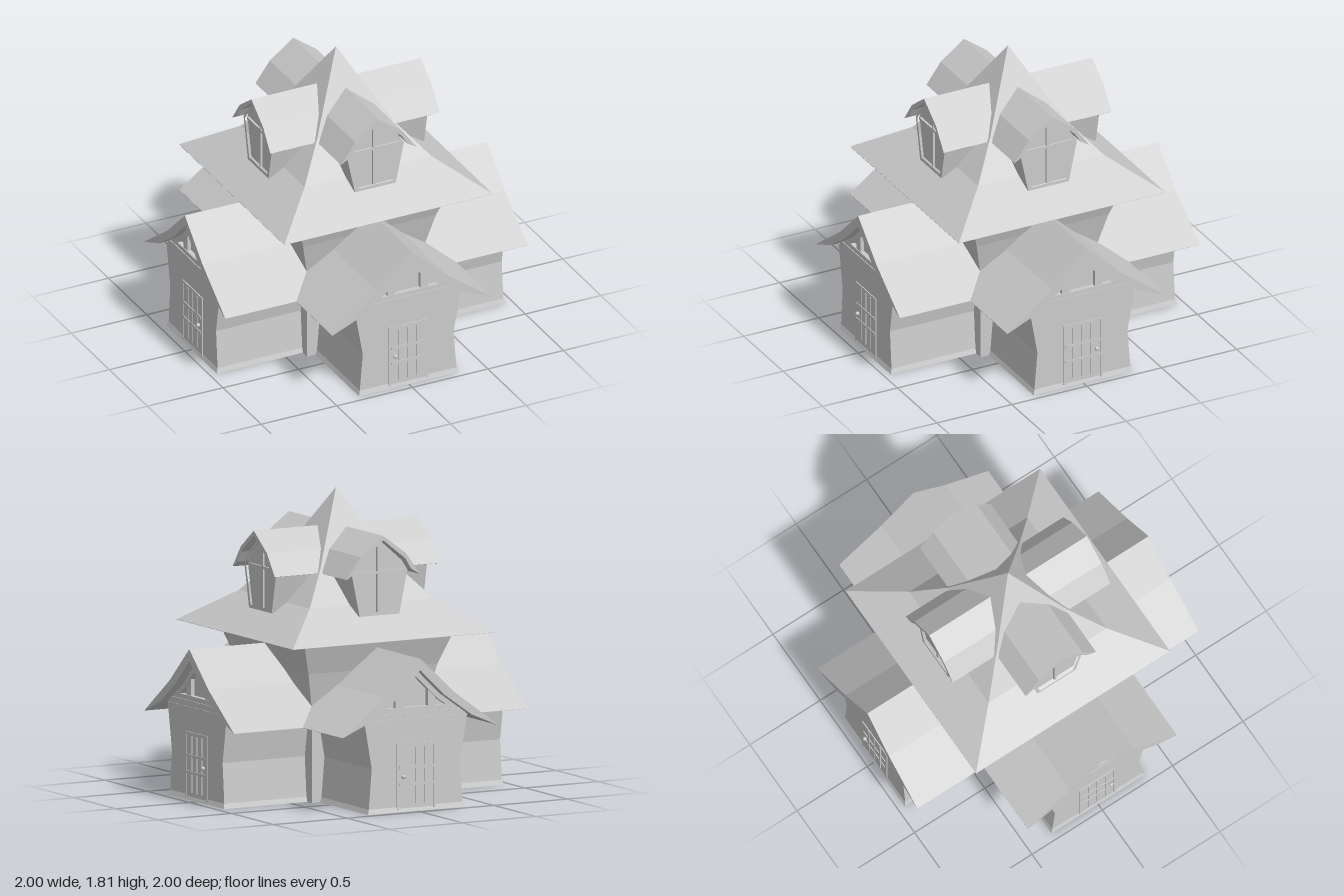
import * as THREE from 'three';

const material = new THREE.MeshStandardMaterial({ color: 0xcccccc, flatShading: true });

function part(parent, name, geometry, x = 0, y = 0, z = 0) {
  const mesh = new THREE.Mesh(geometry, material);
  mesh.name = name;
  mesh.position.set(x, y, z);
  parent.add(mesh);
  return mesh;
}

const box = (parent, name, w, h, d, x, y, z) =>
  part(parent, name, new THREE.BoxGeometry(w, h, d), x, y, z);

// Stack of rectangles, each level being [y, halfWidth, zBack, zFront]
function stack(levels) {
  const pos = [], index = [];
  for (const [y, w, b, f] of levels) pos.push(-w, y, f, w, y, f, w, y, b, -w, y, b);
  for (let l = 0; l < levels.length - 1; l++) {
    for (let i = 0; i < 4; i++) {
      const a = l * 4 + i, b = l * 4 + (i + 1) % 4;
      index.push(a, b, b + 4, a, b + 4, a + 4);
    }
  }
  const t = (levels.length - 1) * 4;
  index.push(0, 2, 1, 0, 3, 2, t, t + 1, t + 2, t, t + 2, t + 3);
  const g = new THREE.BufferGeometry();
  g.setAttribute('position', new THREE.Float32BufferAttribute(pos, 3));
  g.setIndex(index);
  const flat = g.toNonIndexed();
  flat.computeVertexNormals();
  return flat;
}

const square = (levels) => stack(levels.map(([y, h]) => [y, h, -h, h]));

// Mirrors a right-hand profile (top centre first) into a closed outline
const mirrored = (pts) => [
  ...pts.map(([x, y]) => new THREE.Vector2(x, y)),
  ...pts.filter(([x]) => x > 0).reverse().map(([x, y]) => new THREE.Vector2(-x, y)),
];

function prism(outline, z0, z1, hole) {
  const shape = new THREE.Shape(outline);
  if (hole) shape.holes.push(new THREE.Path(hole));
  const g = new THREE.ExtrudeGeometry(shape, { depth: z1 - z0, bevelEnabled: false });
  g.translate(0, 0, z0);
  return g;
}

// Bent gable roof shell between an outer and an inner half profile
function roofShell(outer, inner, z0, z1) {
  const left = (pts) => pts.slice(1).reverse().map(([x, y]) => [-x, y]);
  const loop = [...left(outer), ...outer, ...[...inner].reverse(), ...left(inner).reverse()];
  return prism(loop.map(([x, y]) => new THREE.Vector2(x, y)), z0, z1);
}

// Straight beam between two points of the gable plane
function beam(parent, name, x0, y0, x1, y1, width, z, depth) {
  const m = box(parent, name, Math.hypot(x1 - x0, y1 - y0), width, depth,
    (x0 + x1) / 2, (y0 + y1) / 2, z);
  m.rotation.z = Math.atan2(y1 - y0, x1 - x0);
}

function makeDoor(knobSide) {
  const door = new THREE.Group();
  door.name = 'door';
  box(door, 'doorPanel', 0.24, 0.38, 0.012, 0, 0.205, 0.942);
  // Frame
  for (const s of [-1, 1]) box(door, 'doorJamb', 0.014, 0.4, 0.016, s * 0.123, 0.205, 0.943);
  box(door, 'doorLintel', 0.26, 0.014, 0.016, 0, 0.4, 0.943);
  // Narrow battens between the planks, and two straps
  for (const x of [-0.06, 0, 0.06]) {
    for (const [y, h] of [[0.1, 0.11], [0.215, 0.08], [0.33, 0.11]]) {
      box(door, 'doorBatten', 0.012, h, 0.008, x, y, 0.949);
    }
  }
  for (const y of [0.165, 0.265]) box(door, 'doorStrap', 0.23, 0.016, 0.008, 0, y, 0.949);
  // Knob
  const stem = part(door, 'knobStem', new THREE.CylinderGeometry(0.006, 0.006, 0.02, 8),
    knobSide * 0.09, 0.21, 0.952);
  stem.rotation.x = Math.PI / 2;
  part(door, 'doorKnob', new THREE.SphereGeometry(0.013, 10, 8), knobSide * 0.09, 0.21, 0.958);
  return door;
}

function makeWing(knobSide) {
  const wing = new THREE.Group();
  wing.name = 'wing';
  // Pinched walls with a flared foot
  part(wing, 'wingWalls', stack([
    [0, 0.33, 0, 0.955], [0.03, 0.32, 0, 0.945], [0.27, 0.3, 0, 0.945], [0.555, 0.35, 0, 0.945],
  ]));
  // Roof and recessed gable
  const outer = [[0, 0.915], [0.23, 0.7], [0.53, 0.48]];
  const inner = [[0, 0.845], [0.16, 0.69], [0.35, 0.555], [0.53, 0.478]];
  part(wing, 'wingRoof', roofShell(outer, inner, 0.3, 1));
  part(wing, 'gableWall', prism(mirrored([[0, 0.86], [0.17, 0.7], [0.36, 0.55]]), 0.3, 0.915));
  // Timber framing
  box(wing, 'tieBeam', 0.6, 0.035, 0.05, 0, 0.575, 0.925);
  box(wing, 'tieBeam', 0.49, 0.035, 0.04, 0, 0.603, 0.925);
  for (const s of [-1, 1]) {
    beam(wing, 'rafterBeam', 0, 0.83, s * 0.16, 0.675, 0.04, 0.925, 0.04);
    beam(wing, 'rafterBeam', s * 0.155, 0.68, s * 0.33, 0.555, 0.04, 0.925, 0.04);
    beam(wing, 'gableStud', s * 0.11, 0.6, s * 0.11, 0.73, 0.05, 0.922, 0.036);
  }
  wing.add(makeDoor(knobSide));
  return wing;
}

function makeDormer() {
  const dormer = new THREE.Group();
  dormer.name = 'dormer';
  const wall = mirrored([[0, 1.56], [0.15, 1.43], [0.19, 1.37], [0.135, 1.11]]);
  const opening = mirrored([[0, 1.535], [0.135, 1.42], [0.172, 1.37], [0.117, 1.13]]);
  part(dormer, 'dormerWalls', prism(wall, 0.1, 0.49));
  part(dormer, 'windowFrame', prism(wall, 0.48, 0.515, opening));
  // Glazing bars
  box(dormer, 'windowBar', 0.016, 0.41, 0.016, 0, 1.33, 0.495);
  box(dormer, 'windowBar', 0.34, 0.016, 0.016, 0, 1.365, 0.495);
  part(dormer, 'dormerRoof', roofShell(
    [[0, 1.59], [0.155, 1.475], [0.25, 1.345]],
    [[0, 1.563], [0.15, 1.445], [0.19, 1.38], [0.249, 1.344]], 0.1, 0.56));
  return dormer;
}

export function createModel() {
  const house = new THREE.Group();
  house.name = 'house';

  // Central tower, widening towards the top
  part(house, 'tower', square([
    [0, 0.385], [0.55, 0.385], [0.78, 0.44], [0.98, 0.51],
  ]));

  // Flared pyramid roof
  part(house, 'mainRoof', square([
    [0.978, 0.69], [0.98, 0.69], [1.17, 0.42], [1.365, 0.255], [1.808, 0.0005],
  ]));

  // The same wing and dormer on every side
  for (let i = 0; i < 4; i++) {
    const side = new THREE.Group();
    side.name = ['frontSide', 'leftSide', 'backSide', 'rightSide'][i];
    side.add(makeWing(i % 2 ? 1 : -1), makeDormer());
    side.rotation.y = i * Math.PI / 2;
    house.add(side);
  }
  return house;
}
